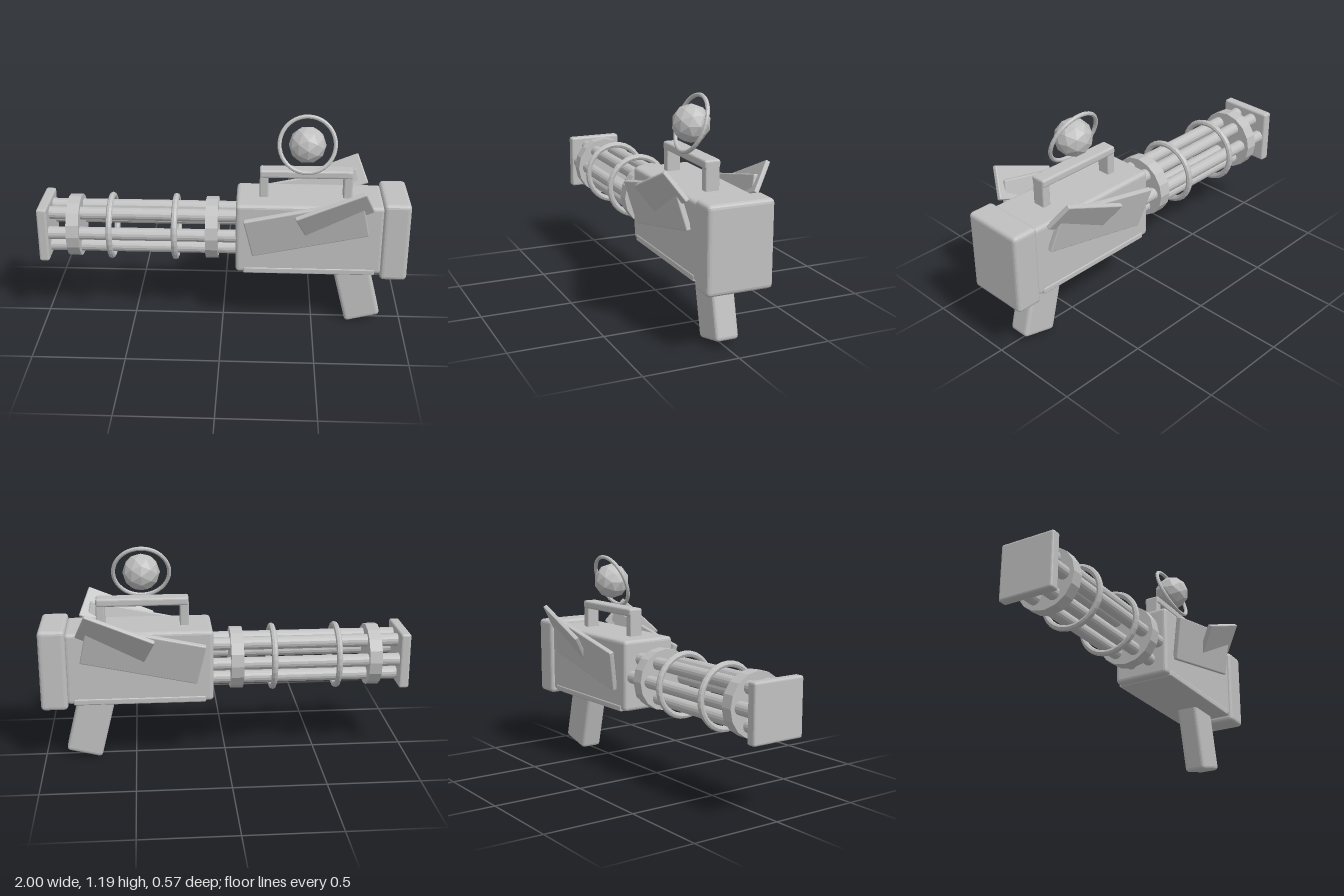
import * as THREE from 'three';
import { RoundedBoxGeometry } from 'three/addons/geometries/RoundedBoxGeometry.js';

export function createModel() {
  const model = new THREE.Group();
  model.name = 'rotaryBlaster';
  const grey = new THREE.MeshStandardMaterial({ color: 0xc0c0c0 });
  grey.name = 'grey';
  grey.flatShading = true;
  const smoothGrey = grey; // one colour throughout

  const add = (name, geometry, x, y, z, parent = model) => {
    const mesh = new THREE.Mesh(geometry, smoothGrey);
    mesh.name = name;
    mesh.position.set(x, y, z);
    parent.add(mesh);
    return mesh;
  };
  // Bevelled block
  const block = (name, w, h, d, x, y, z, bevel = 0.015) =>
    add(name, new RoundedBoxGeometry(w, h, d, 2, bevel), x, y, z);

  // Body, underside plate and rear cap
  block('body', 0.79, 0.395, 0.32, 0.468, 0.56, 0, 0.02);
  block('undersidePlate', 0.71, 0.035, 0.328, 0.47, 0.375, 0, 0.008);
  block('rearCap', 0.145, 0.445, 0.35, 0.9275, 0.557, 0, 0.022);

  // Slanted grip
  block('grip', 0.2, 0.42, 0.125, 0.737, 0.231, 0, 0.02).rotation.z = 0.245;

  // Carry handle
  block('handleBar', 0.498, 0.045, 0.086, 0.446, 0.89, 0, 0.012);
  for (const x of [0.221, 0.671]) block('handlePost', 0.048, 0.16, 0.076, x, 0.81, 0, 0.008);

  // Faceted orb with a tilted ring
  add('orb', new THREE.IcosahedronGeometry(0.1, 1), 0.447, 1.047, 0);
  add('orbRing', new THREE.TorusGeometry(0.149, 0.011, 8, 40), 0.447, 1.047, 0).rotation.x = -0.36;

  // Barrel cluster
  const axisY = 0.555;
  const barrels = new THREE.Group();
  barrels.name = 'barrelCluster';
  barrels.position.y = axisY;
  model.add(barrels);
  const barrelGeometry = new THREE.CylinderGeometry(0.035, 0.035, 1.04, 16).rotateZ(Math.PI / 2);
  for (let i = 0; i < 6; i++) {
    const a = (i * Math.PI) / 3;
    add('barrel', barrelGeometry, -0.43, 0.11 * Math.sin(a), 0.11 * Math.cos(a), barrels);
  }

  // Wide clamps and thin hoops around the barrels
  const clampGeometry = new THREE.CylinderGeometry(0.17, 0.17, 0.068, 16).rotateZ(Math.PI / 2);
  for (const x of [-0.81, -0.058]) add('clamp', clampGeometry, x, 0, 0, barrels);
  const hoopGeometry = new THREE.TorusGeometry(0.167, 0.017, 8, 32).rotateY(Math.PI / 2);
  for (const x of [-0.61, -0.258]) add('hoop', hoopGeometry, x, 0, 0, barrels);

  // Square muzzle plate
  block('muzzlePlate', 0.055, 0.308, 0.308, -0.9725, axisY, 0, 0.012);

  // Slanted side panels and flared fins, mirrored across z
  for (const side of [1, -1]) {
    const panel = block('sidePanel', 0.635, 0.238, 0.03, 0.449, 0.65, side * 0.192, 0.007);
    panel.rotation.set(side * 0.23, 0, 0.21, 'ZXY');
    const fin = block('fin', 0.388, 0.178, 0.025, 0.593, 0.75, side * 0.23, 0.006);
    fin.rotation.set(side * 0.57, 0, 0.396, 'ZXY');
  }

  return model;
}
